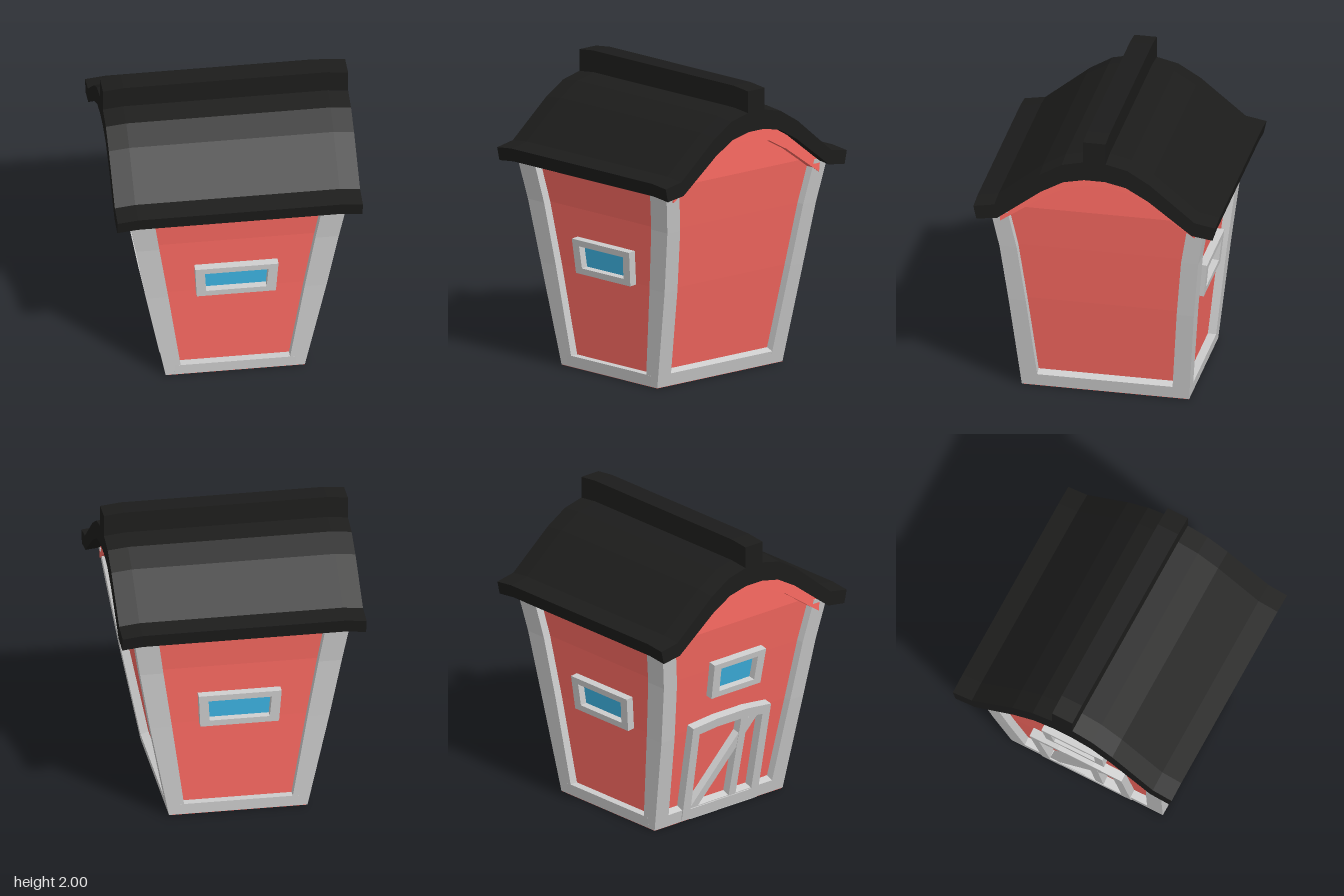
import * as THREE from 'three';

const mat = (color) => new THREE.MeshStandardMaterial({ color, flatShading: true });
const red = mat(0xfb6a62), white = mat(0xf6f5f3), dark = mat(0x1c1c1b), blue = mat(0x3db3e2);

// Flared outer half sizes of the house: [y, half x, half z]
const LEVELS = [[0, 0.46, 0.56], [0.68, 0.595, 0.62], [1.1, 0.67, 0.665], [1.4, 0.72, 0.72]];
const INSET = 0.055;

function halfSize(y) {
  let i = 0;
  while (i < LEVELS.length - 2 && y > LEVELS[i + 1][0]) i++;
  const a = LEVELS[i], b = LEVELS[i + 1], t = (y - a[0]) / (b[0] - a[0]);
  return [a[1] + (b[1] - a[1]) * t, a[2] + (b[2] - a[2]) * t];
}

function add(parent, name, geometry, material) {
  const mesh = new THREE.Mesh(geometry, material);
  mesh.name = name;
  parent.add(mesh);
  return mesh;
}

// Rectangle ring at height y, counter-clockwise from above
function rect(xa, xb, za, zb, y) {
  const x0 = Math.min(xa, xb), x1 = Math.max(xa, xb);
  const z0 = Math.min(za, zb), z1 = Math.max(za, zb);
  return [[x0, y, z1], [x1, y, z1], [x1, y, z0], [x0, y, z0]];
}

// Capped loft through four-cornered rings, bottom to top
function loft(rings) {
  const pos = [];
  const quad = (a, b, c, d) => pos.push(...a, ...b, ...c, ...a, ...c, ...d);
  for (let k = 0; k < rings.length - 1; k++) {
    for (let i = 0; i < 4; i++) {
      const j = (i + 1) % 4;
      quad(rings[k][i], rings[k][j], rings[k + 1][j], rings[k + 1][i]);
    }
  }
  const [a, b, c, d] = rings[0];
  quad(d, c, b, a);
  quad(...rings[rings.length - 1]);
  const g = new THREE.BufferGeometry();
  g.setAttribute('position', new THREE.Float32BufferAttribute(pos, 3));
  g.computeVertexNormals();
  return g;
}

const vectors = (pts) => pts.map(([x, y]) => new THREE.Vector2(x, y));

function plate(outer, hole, depth) {
  const shape = new THREE.Shape(vectors(outer));
  if (hole) shape.holes.push(new THREE.Path(vectors(hole)));
  return new THREE.ExtrudeGeometry(shape, { depth, bevelEnabled: false });
}

// Closed strip from the upper and lower half profiles (z, y), listed from the eave to the middle
function mirrored(upper, lower) {
  const flip = (pts) => pts.map(([z, y]) => [-z, y]);
  return [...upper, ...flip(upper).reverse(), ...flip(lower), ...[...lower].reverse()];
}

// Extrudes a (z, y) profile along x from x0 to x1
function alongX(profile, x0, x1, steps = 1) {
  const shape = new THREE.Shape(vectors(profile));
  const g = new THREE.ExtrudeGeometry(shape, { depth: x1 - x0, steps, bevelEnabled: false });
  g.rotateY(Math.PI / 2);
  g.translate(x0, 0, 0);
  return g;
}

// Lets the outer ends of the roof droop slightly
function droop(g) {
  const p = g.attributes.position;
  for (let i = 0; i < p.count; i++) {
    const over = Math.max(0, Math.abs(p.getX(i)) - 0.675);
    p.setY(i, p.getY(i) - over * 0.11);
  }
  g.computeVertexNormals();
  return g;
}

// Group lying on a leaning wall, local z pointing outwards
function onWall(parent, name, angle, y, slope, distance) {
  const g = new THREE.Group();
  g.name = name;
  g.rotation.set(Math.atan(slope), angle, 0, 'YXZ');
  g.position.set(Math.sin(angle) * distance, y, Math.cos(angle) * distance);
  parent.add(g);
  return g;
}

function addWindow(parent, name, angle, y, slope, distance, w, h) {
  const g = onWall(parent, name, angle, y, slope, distance);
  const trapezoid = (a, b) => [[-a * 0.95, -b], [a * 0.95, -b], [a, b], [-a, b]];
  add(g, 'windowFrame', plate(trapezoid(w, h), trapezoid(w - 0.065, h - 0.042), 0.062), white).position.z = -0.01;
  add(g, 'windowGlass', plate(trapezoid(w - 0.06, h - 0.035), null, 0.01), blue).position.z = -0.005;
}

export function createModel() {
  const house = new THREE.Group();
  house.name = 'house';

  // Walls, narrowing under the arched roof
  const walls = LEVELS.map(([y, x, z]) => rect(-x + INSET, x - INSET, -z + INSET, z - INSET, y + (y ? 0 : 0.01)));
  for (const [z, y] of [[0.37, 1.63], [0.21, 1.72], [0.07, 1.75]]) walls.push(rect(-0.668, 0.668, -z, z, y));
  add(house, 'walls', loft(walls), red);
  add(house, 'floor', loft([rect(-0.459, 0.459, -0.559, 0.559, 0.002), rect(-0.459, 0.459, -0.559, 0.559, 0.02)]), red);

  // Corner posts
  for (const sx of [-1, 1]) {
    for (const sz of [-1, 1]) {
      const rings = LEVELS.map(([y, x, z], i) => {
        const wx = [0.11, 0.145, 0.155, 0.16][i];
        return rect(sx * x, sx * (x - wx), sz * z, sz * (z - 0.115), y + (y ? 0 : 0.004));
      });
      add(house, 'cornerPost', loft(rings), white);
    }
  }

  // Base rails, the side ones sloping up to the wall
  const [tx, tz] = halfSize(0.085);
  for (const s of [-1, 1]) {
    add(house, 'baseRail', loft([
      rect(-0.4, 0.4, s * 0.56, s * 0.46, 0.004),
      rect(-0.4, 0.4, s * tz, s * 0.46, 0.08),
    ]), white);
    add(house, 'baseRail', loft([
      rect(s * 0.46, s * 0.36, -0.5, 0.5, 0.004),
      rect(s * tx, s * 0.36, -0.5, 0.5, 0.09),
      rect(s * (tx - INSET), s * 0.36, -0.5, 0.5, 0.11),
    ]), white);
    // Wall header beneath the eaves
    add(house, 'eaveHeader', loft([
      rect(-0.6, 0.6, s * 0.68, s * 0.6, 1.345),
      rect(-0.6, 0.6, s * 0.69, s * 0.6, 1.39),
    ]), red);
  }

  // Curved roof with upturned eaves and a ridge beam
  const top = [[0.81, 1.46], [0.67, 1.485], [0.37, 1.73], [0.22, 1.82], [0.07, 1.855]];
  const under = [[0.79, 1.37], [0.65, 1.39], [0.36, 1.61], [0.21, 1.695], [0.07, 1.725]];
  add(house, 'roof', droop(alongX(mirrored(top, under), -0.81, 0.81, 12)), dark);
  const ridge = [[-0.075, 1.83], [0.075, 1.83], [0.075, 2], [-0.075, 2]];
  add(house, 'ridgeBeam', droop(alongX(ridge, -0.81, 0.81, 12)), dark);

  // Arched boards under the roof at both gables
  const boardTop = [[0.66, 1.4], [0.36, 1.63], [0.21, 1.71], [0.07, 1.74]];
  const boardLow = [[0.65, 1.31], [0.36, 1.51], [0.21, 1.59], [0.07, 1.62]];
  const board = mirrored(boardTop, boardLow);
  add(house, 'gableBoard', alongX(board, 0.62, 0.715), red);
  add(house, 'gableBoard', alongX(board, -0.715, -0.62), red);

  // Windows in the front, back and right gable
  const wallZ = halfSize(0.785)[1] - INSET, wallX = halfSize(1.03)[0] - INSET;
  addWindow(house, 'frontWindow', 0, 0.785, 0.107, wallZ, 0.275, 0.117);
  addWindow(house, 'backWindow', Math.PI, 0.785, 0.107, wallZ, 0.275, 0.117);
  addWindow(house, 'gableWindow', -Math.PI / 2, 1.03, 0.179, wallX, 0.225, 0.128);

  // Braced door in the right gable
  const door = onWall(house, 'door', -Math.PI / 2, 0.012, 0.1985, 0.46 - INSET);
  const outer = [[-0.33, 0.02], [0.33, 0.02], [0.33, 0.72], [0.12, 0.745], [-0.14, 0.745], [-0.35, 0.725]];
  const inner = [[-0.265, 0.085], [0.265, 0.085], [0.265, 0.66], [0.11, 0.68], [-0.13, 0.68], [-0.285, 0.665]];
  add(door, 'doorFrame', plate(outer, inner, 0.062), white);
  add(door, 'doorBrace', plate([[-0.28, 0.07], [-0.21, 0.07], [0.23, 0.67], [0.16, 0.68]], null, 0.055), white);
  add(door, 'doorPost', plate([[0.07, 0.05], [0.13, 0.05], [0.14, 0.69], [0.08, 0.69]], null, 0.058), white);
  add(house, 'doorSill', loft([rect(-0.46, -0.41, -0.25, 0.33, 0), rect(-0.46, -0.41, -0.25, 0.33, 0.03)]), white);

  return house;
}
